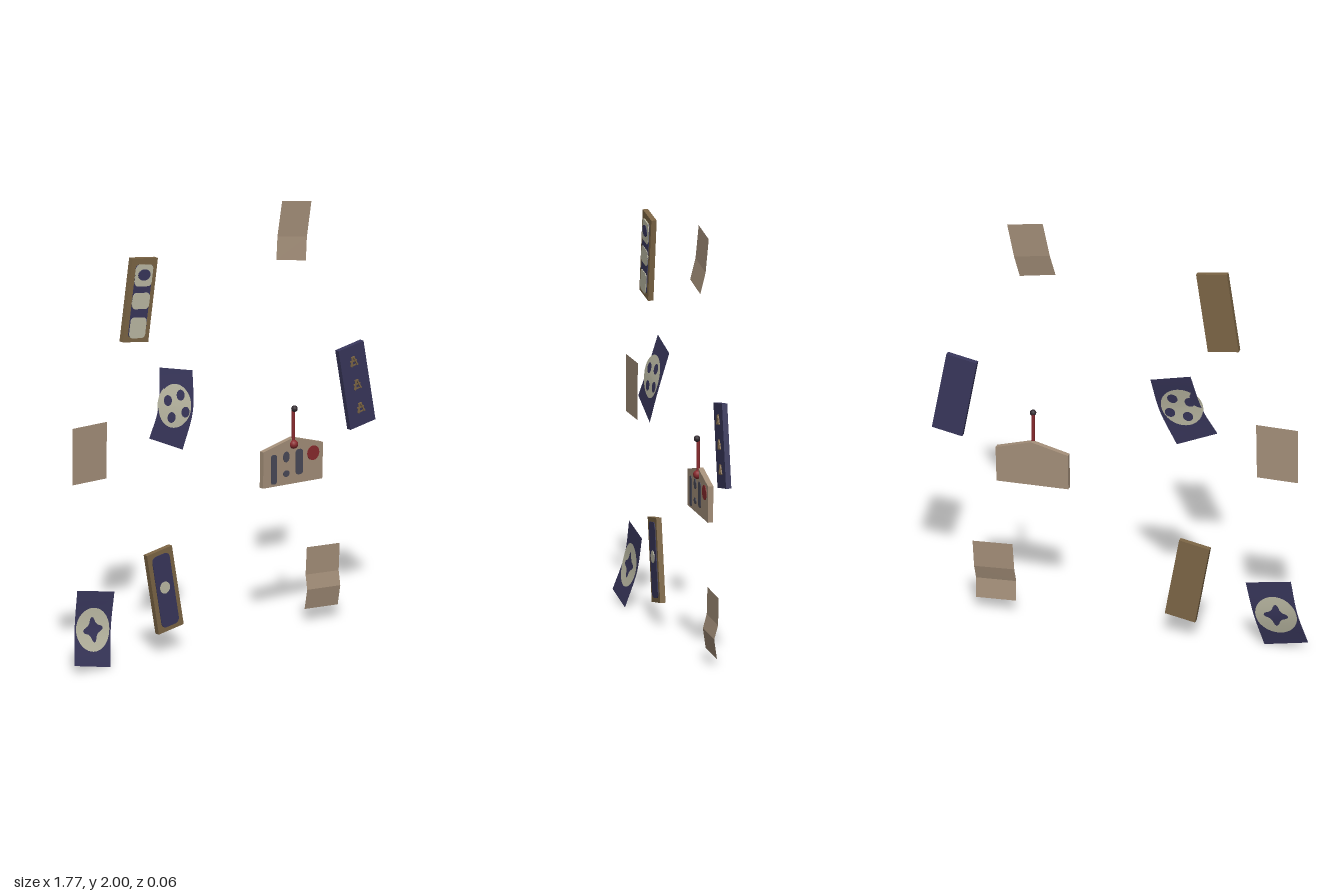
import * as THREE from 'three';

const mat = (name, color, side = THREE.FrontSide) => {
  const m = new THREE.MeshStandardMaterial({ color, side });
  m.name = name;
  return m;
};

const BACK = -0.032, THICK = 0.025, FACE = BACK + THICK;

// Rectangle outline with rounded corners
function roundRect(w, h, r) {
  const s = new THREE.Shape(), x = w / 2 - r, y = h / 2 - r;
  s.absarc(x, y, r, 0, Math.PI / 2);
  s.absarc(-x, y, r, Math.PI / 2, Math.PI);
  s.absarc(-x, -y, r, Math.PI, Math.PI * 1.5);
  s.absarc(x, -y, r, Math.PI * 1.5, Math.PI * 2);
  s.closePath();
  return s;
}

function ellipse(rx, ry) {
  const s = new THREE.Shape();
  s.absellipse(0, 0, rx, ry, 0, Math.PI * 2, false, 0);
  return s;
}

function add(parent, name, geometry, material, x = 0, y = 0, z = 0) {
  const m = new THREE.Mesh(geometry, material);
  m.name = name;
  m.position.set(x, y, z);
  parent.add(m);
  return m;
}

// Thin painted plate on the front of a board; layer lifts it over earlier plates
function plate(parent, name, shape, material, x, y, layer = 1) {
  const g = new THREE.ExtrudeGeometry(shape, { depth: 0.003 * layer, bevelEnabled: false, curveSegments: 10 });
  return add(parent, name, g, material, x, y, FACE);
}

// Tilted rectangular board
function board(parent, name, material, x, y, w, h, degrees) {
  const g = new THREE.Group();
  g.name = name;
  g.position.set(x, y, 0);
  g.rotation.z = THREE.MathUtils.degToRad(degrees);
  add(g, name + 'Body', new THREE.BoxGeometry(w, h, THICK), material, 0, 0, BACK + THICK / 2);
  parent.add(g);
  return g;
}

// Open sheet from rows [leftX, leftY, rightX, rightY, z], top to bottom
function sheet(rows, smooth) {
  const left = rows.map(r => new THREE.Vector3(r[0], r[1], r[4]));
  const right = rows.map(r => new THREE.Vector3(r[2], r[3], r[4]));
  const n = smooth ? 16 : rows.length - 1;
  const L = smooth ? new THREE.CatmullRomCurve3(left).getPoints(n) : left;
  const R = smooth ? new THREE.CatmullRomCurve3(right).getPoints(n) : right;
  const pos = [], idx = [];
  for (let i = 0; i <= n; i++) {
    pos.push(...L[i].toArray(), ...R[i].toArray());
    const a = i * 2;
    if (i < n) idx.push(a, a + 2, a + 1, a + 1, a + 2, a + 3);
  }
  let g = new THREE.BufferGeometry();
  g.setAttribute('position', new THREE.Float32BufferAttribute(pos, 3));
  g.setIndex(idx);
  if (!smooth) g = g.toNonIndexed();
  g.computeVertexNormals();
  return g;
}

// Depth of a cloth at (x, y), measured along its centre line
function clothDepth(rows) {
  const mid = rows.map(r => new THREE.Vector3((r[0] + r[2]) / 2, (r[1] + r[3]) / 2, r[4]));
  const curve = new THREE.CatmullRomCurve3(mid);
  const top = mid[0], axis = mid[mid.length - 1].clone().sub(top).setZ(0);
  const len = axis.lengthSq();
  return (x, y) => {
    const t = ((x - top.x) * axis.x + (y - top.y) * axis.y) / len;
    return curve.getPoint(THREE.MathUtils.clamp(t, 0, 1)).z;
  };
}

// Round motif that follows the cloth, printed on both sides
function print(parent, name, material, depth, cx, cy, radius, lift) {
  for (const side of [1, -1]) {
    const g = new THREE.RingGeometry(0.0005, 1, 40, 6);
    const p = g.attributes.position;
    for (let i = 0; i < p.count; i++) {
      const r = radius(Math.atan2(p.getY(i), p.getX(i)));
      const x = cx + p.getX(i) * r, y = cy + p.getY(i) * r;
      p.setXYZ(i, x, y, depth(x, y) + side * lift);
    }
    g.computeVertexNormals();
    add(parent, name + (side > 0 ? 'Front' : 'Back'), g, material);
  }
}

export function createModel() {
  const model = new THREE.Group();
  model.name = 'hangingSigns';
  const D = THREE.DoubleSide;
  const tan = mat('tanWood', 0xa5907a);
  const paper = mat('tanPaper', 0xa5907a, D);
  const navy = mat('navyPaint', 0x39375c);
  const navyCloth = mat('navyCloth', 0x39375c, D);
  const cream = mat('creamPaint', 0xbebca6, D);
  const brown = mat('brownWood', 0x7d6646);
  const red = mat('redPaint', 0x8a2a2e);
  const slate = mat('slatePaint', 0x4a4a58);
  const black = mat('darkKnob', 0x332a30);

  // Brown board with cream patches
  const patched = board(model, 'patchedBoard', brown, -0.475, 1.678, 0.148, 0.388, -8.3);
  plate(patched, 'patchPanel', roundRect(0.098, 0.335, 0.015), navy, 0, -0.003);
  for (const [y, h, w] of [[0.115, 0.1, 0.098], [-0.003, 0.075, 0.098], [-0.127, 0.096, 0.092]])
    plate(patched, 'creamPatch', roundRect(w, h, 0.02), cream, 0, y, 2);
  plate(patched, 'patchOval', ellipse(0.035, 0.026), navy, 0, 0.118, 3);

  // Brown board with a navy panel and a cream dot
  const dotted = board(model, 'dottedBoard', brown, -0.331, 0.295, 0.146, 0.386, 10.2);
  plate(dotted, 'navyPanel', roundRect(0.1, 0.345, 0.025), navy, 0, 0);
  plate(dotted, 'creamDot', ellipse(0.028, 0.028), cream, -0.003, 0.014, 2);

  // Navy board with three brown ornaments made of crossed strokes
  const ornate = board(model, 'ornamentBoard', navy, 0.775, 1.069, 0.146, 0.386, 10.3);
  for (const y of [0.118, 0.005, -0.108]) {
    for (const dy of [-0.018, 0.002, 0.02])
      plate(ornate, 'ornamentBar', roundRect(0.042 - Math.abs(dy), 0.007, 0.003), brown, 0, y + dy);
    for (const s of [-1, 1])
      plate(ornate, 'ornamentStroke', roundRect(0.007, 0.048, 0.003), brown, s * 0.01, y, 2).rotation.z = s * 0.35;
  }

  // Pointed tan plaque with painted marks
  const plaque = new THREE.Group();
  plaque.name = 'pointedPlaque';
  model.add(plaque);
  const outline = new THREE.Shape([[0.235, 0.844], [0.233, 0.675], [0.574, 0.667], [0.579, 0.836], [0.41, 0.886]]
    .map(p => new THREE.Vector2(...p)));
  add(plaque, 'plaqueBody', new THREE.ExtrudeGeometry(outline, { depth: THICK, bevelEnabled: false }), tan, 0, 0, BACK);
  plate(plaque, 'longBar', roundRect(0.032, 0.138, 0.012), slate, 0.294, 0.754);
  plate(plaque, 'wideBar', roundRect(0.042, 0.118, 0.016), slate, 0.441, 0.768);
  plate(plaque, 'upperSpot', ellipse(0.018, 0.025), slate, 0.366, 0.802);
  plate(plaque, 'lowerSpot', ellipse(0.018, 0.015), slate, 0.366, 0.724);
  plate(plaque, 'redDisc', ellipse(0.034, 0.034), red, 0.521, 0.796);

  // Hanging rod with its end knobs
  add(plaque, 'rod', new THREE.CylinderGeometry(0.008, 0.008, 0.165, 10), red, 0.408, 0.937, -0.008);
  add(plaque, 'rodBase', new THREE.SphereGeometry(0.021, 14, 10), red, 0.408, 0.855, -0.006);
  add(plaque, 'rodKnob', new THREE.SphereGeometry(0.015, 12, 8), black, 0.41, 1.022, -0.002);

  // Paper sheets
  const papers = {
    flatPaper: [[-0.855, 1.135, -0.656, 1.135, -0.022], [-0.855, 0.87, -0.66, 0.87, -0.022]],
    upperPaper: [[0.357, 2, 0.526, 1.971, -0.025], [0.325, 1.84, 0.495, 1.81, -0.019], [0.304, 1.738, 0.474, 1.706, 0]],
    foldedPaper: [[0.5, 0.352, 0.69, 0.341, -0.026], [0.492, 0.225, 0.683, 0.214, -0.025],
      [0.488, 0.158, 0.679, 0.148, -0.008], [0.484, 0.066, 0.675, 0.056, -0.022]],
  };
  for (const [name, rows] of Object.entries(papers)) add(model, name, sheet(rows, false), paper);

  // Curved cloth with a four-hole disc
  const ringRows = [[-0.347, 1.336, -0.156, 1.291, -0.03], [-0.389, 1.156, -0.188, 1.114, 0.013], [-0.455, 1.034, -0.262, 0.95, 0.032]];
  const ringCloth = new THREE.Group();
  ringCloth.name = 'fourDotCloth';
  model.add(ringCloth);
  add(ringCloth, 'fourDotSheet', sheet(ringRows, true), navyCloth);
  const ringDepth = clothDepth(ringRows);
  print(ringCloth, 'creamDisc', cream, ringDepth, -0.294, 1.156, () => 0.098, 0.004);
  for (const [x, y] of [[-0.333, 1.188], [-0.253, 1.198], [-0.321, 1.109], [-0.237, 1.119]])
    print(ringCloth, 'navyDot', navyCloth, ringDepth, x, y, () => 0.024, 0.006);

  // Curved cloth with a star in a disc
  const starRows = [[-0.823, 0.368, -0.608, 0.331, -0.028], [-0.849, 0.204, -0.64, 0.172, -0.014], [-0.886, 0.04, -0.678, 0, 0.032]];
  const starCloth = new THREE.Group();
  starCloth.name = 'starCloth';
  model.add(starCloth);
  add(starCloth, 'starSheet', sheet(starRows, true), navyCloth);
  const starDepth = clothDepth(starRows);
  print(starCloth, 'creamDisc', cream, starDepth, -0.749, 0.18, () => 0.098, 0.004);
  print(starCloth, 'navyStar', navyCloth, starDepth, -0.749, 0.18, a => 0.034 + 0.024 * Math.cos(2 * a) ** 4, 0.006);

  return model;
}
